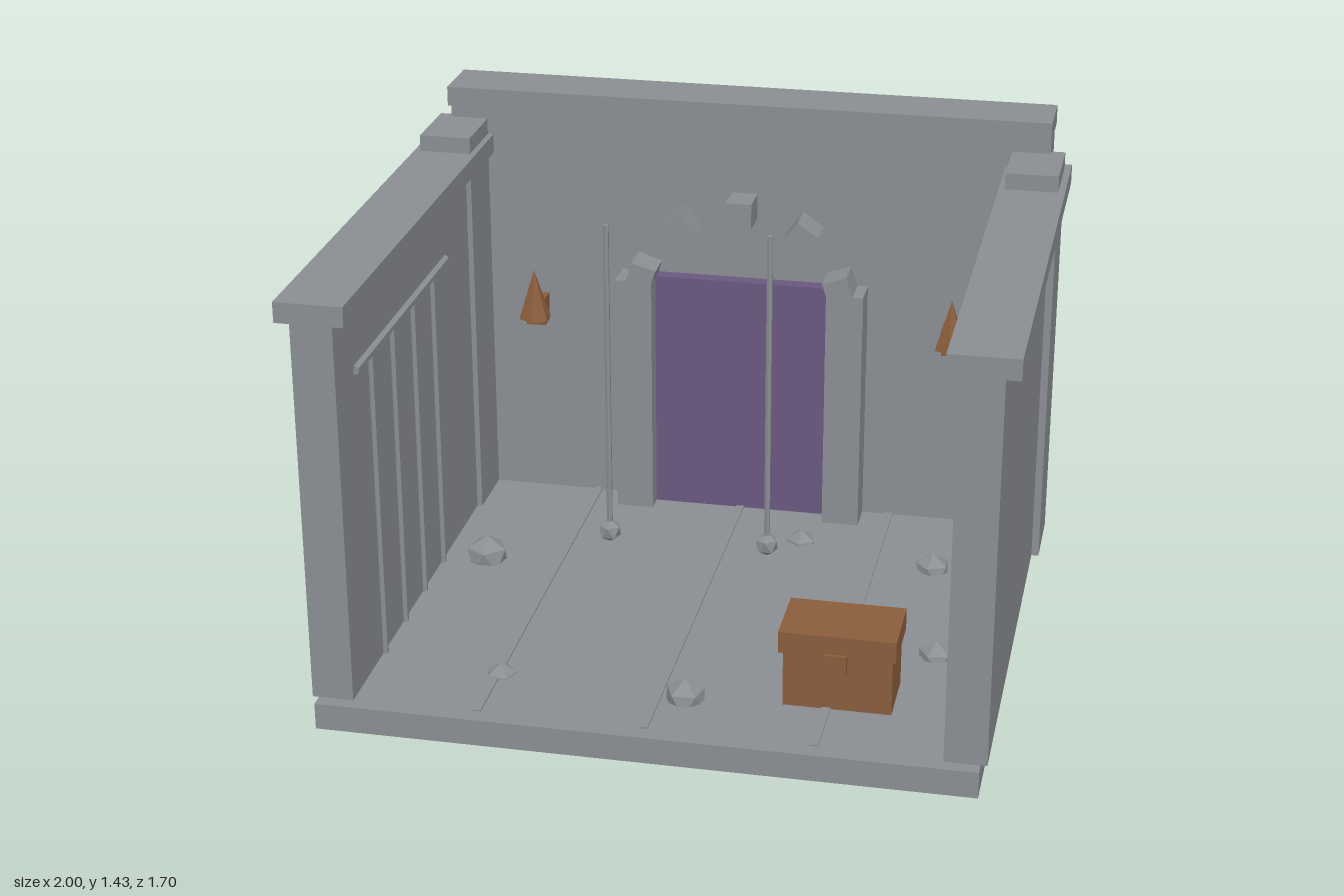
import * as THREE from 'three';

export function createModel() {
  const root = new THREE.Group();
  const mat = (name, color) => {
    const m = new THREE.MeshStandardMaterial({ color });
    m.name = name;
    m.flatShading = true;
    return m;
  };
  const stone = mat('stone', 0x8b8f94);
  const wood = mat('wood', 0x8b5e3c);
  const purple = mat('purple', 0x6a5880);

  const add = (name, geometry, material, x = 0, y = 0, z = 0) => {
    const mesh = new THREE.Mesh(geometry, material);
    mesh.name = name;
    mesh.position.set(x, y, z);
    root.add(mesh);
    return mesh;
  };
  // Box given by its limits on each axis
  const box = (name, material, x0, x1, y0, y1, z0, z1) =>
    add(name, new THREE.BoxGeometry(x1 - x0, y1 - y0, z1 - z0), material,
      (x0 + x1) / 2, (y0 + y1) / 2, (z0 + z1) / 2);
  // Same box on the left (+x) and right (-x)
  const pair = (name, material, x0, x1, ...rest) => {
    box(name + 'Left', material, x0, x1, ...rest);
    box(name + 'Right', material, -x1, -x0, ...rest);
  };
  // Icosahedron standing on one vertex
  const boulder = (name, r, x, y, z, yaw) => {
    const g = new THREE.IcosahedronGeometry(r, 0);
    g.rotateZ(Math.atan(2 / (1 + Math.sqrt(5))));
    g.rotateY(yaw);
    add(name, g, stone, x, y, z);
  };

  // Floor with raised seams
  box('floor', stone, -0.94, 0.94, 0, 0.08, -0.79, 0.85);
  for (const x of [-0.48, 0, 0.48])
    box('floorSeam', stone, x - 0.012, x + 0.012, 0.075, 0.085, -0.7, 0.8);

  // Walls, caps and corner pillars
  box('backWall', stone, -0.938, 0.938, 0.08, 1.375, -0.81, -0.69);
  box('backWallCap', stone, -0.94, 0.94, 1.375, 1.435, -0.85, -0.66);
  pair('sideWall', stone, 0.838, 0.958, 0.08, 1.22, -0.75, 0.81);
  pair('sideWallCap', stone, 0.804, 1, 1.22, 1.28, -0.752, 0.815);
  pair('cornerPillar', stone, 0.822, 0.98, 0.08, 1.33, -0.715, -0.485);

  // Door, posts and ring of arch stones
  box('door', purple, -0.28, 0.28, 0.08, 0.86, -0.7, -0.645);
  pair('doorPost', stone, 0.277, 0.393, 0.08, 0.86, -0.7, -0.585);
  for (let i = 0; i < 5; i++) {
    const a = (18 + 36 * i) * Math.PI / 180;
    const block = add('archStone', new THREE.BoxGeometry(0.08, 0.08, 0.11), stone,
      0.33 * Math.cos(a), 0.77 + 0.33 * Math.sin(a), -0.64);
    block.rotation.z = a - Math.PI / 2;
  }

  // Wall torches
  for (const s of [-1, 1]) {
    const x = s * 0.665;
    box('torchBracket', wood, x - 0.03, x + 0.03, 0.67, 0.76, -0.7, -0.63);
    add('torchFlame', new THREE.ConeGeometry(0.052, 0.16, 6), wood, x, 0.78, -0.62);
  }

  // Hanging chains with weights
  for (const s of [-1, 1]) {
    add('chain', new THREE.CylinderGeometry(0.009, 0.009, 0.93, 6), stone, s * 0.235, 0.865, 0.185);
    boulder('chainWeight', 0.036, s * 0.235, 0.375, 0.185, 0.3);
  }

  // Barred grille on the right wall
  for (let i = 0; i < 4; i++)
    add('grilleBar', new THREE.CylinderGeometry(0.011, 0.011, 0.95, 6), stone, -0.835, 0.555, 0.52 - 0.2 * i);
  const rail = add('grilleRail', new THREE.CylinderGeometry(0.014, 0.014, 0.88, 6), stone, -0.835, 1.03, 0.215);
  rail.rotation.x = Math.PI / 2;

  // Chest
  box('chestBody', wood, 0.355, 0.665, 0.08, 0.25, 0.4, 0.59);
  box('chestLid', wood, 0.342, 0.675, 0.25, 0.315, 0.39, 0.6);
  box('chestLock', wood, 0.477, 0.537, 0.2, 0.26, 0.58, 0.612);

  // Rubble half sunk in the floor: x, z, radius, height of centre
  [
    [-0.705, -0.13, 0.07, 0.088],
    [0.235, -0.445, 0.052, 0.064],
    [0.667, -0.33, 0.058, 0.075],
    [0.745, 0.22, 0.057, 0.072],
    [0.08, 0.61, 0.064, 0.08],
    [-0.47, 0.57, 0.052, 0.06],
  ].forEach(([x, z, r, y], i) => boulder('rubble', r, x, y, z, 0.4 + i * 1.1));

  return root;
}
